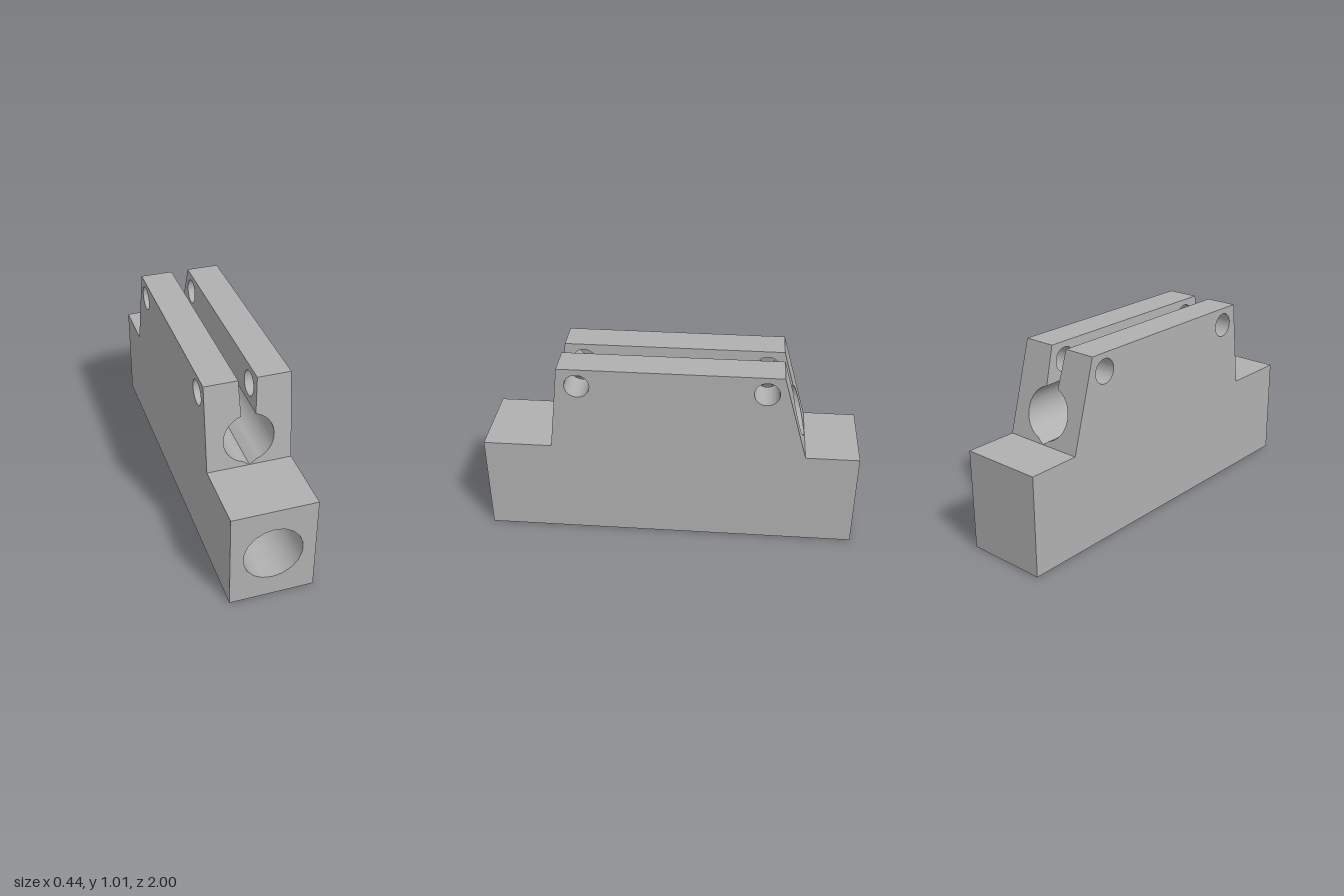
import * as THREE from 'three';
import { toCreasedNormals } from 'three/addons/utils/BufferGeometryUtils.js';

const W = 0.222;                       // half width
const STEP = 0.54, SEAM = 0.82, TOP = 1.015;
const lerp = THREE.MathUtils.lerp;

// sloping ends of the clamp and tapering slot, as functions of height
const rise = (y) => (y - STEP) / (TOP - STEP);
const frontZ = (y) => lerp(0.634, 0.578, rise(y));
const backZ = (y) => lerp(-0.717, -0.583, rise(y));
const slotX = (y) => lerp(0.038, 0.048, (y - SEAM) / (TOP - SEAM));

const extrude = (shape, depth) =>
  new THREE.ExtrudeGeometry(shape, { depth, bevelEnabled: false, curveSegments: 32 });

const circlePoints = (cx, cy, r, n, start, sweep) =>
  Array.from({ length: n + 1 }, (_, i) => {
    const a = start + (sweep * i) / n;
    return new THREE.Vector2(cx + r * Math.cos(a), cy + r * Math.sin(a));
  });

// move each vertex by a rule
function reshape(geometry, rule) {
  const p = geometry.attributes.position;
  const v = new THREE.Vector3();
  for (let i = 0; i < p.count; i++) {
    rule(v.fromBufferAttribute(p, i));
    p.setXYZ(i, v.x, v.y, v.z);
  }
  return geometry;
}

export function createModel() {
  const model = new THREE.Group();
  model.name = 'clampBlock';
  const grey = new THREE.MeshStandardMaterial({ color: 0xb0b0b0 });
  grey.name = 'grey';

  const add = (name, geometry) => {
    const mesh = new THREE.Mesh(toCreasedNormals(geometry, 0.5), grey);
    mesh.name = name;
    model.add(mesh);
  };

  // base with a blind bore from the front
  const wall = 0.2;
  const section = new THREE.Shape([
    new THREE.Vector2(-W, 0), new THREE.Vector2(W, 0),
    new THREE.Vector2(W, STEP), new THREE.Vector2(-W, STEP),
  ]);
  const bore = circlePoints(0, 0.27, 0.155, 18, Math.PI / 2, Math.PI * 2).slice(0, 18);
  section.holes.push(new THREE.Path(bore));
  add('base', extrude(section, 2 - wall).translate(0, 0, -1 + wall));
  add('baseBackWall', new THREE.BoxGeometry(2 * W, STEP, wall).translate(0, STEP / 2, -1 + wall / 2));

  for (const side of [1, -1]) {
    const label = side > 0 ? 'left' : 'right';

    // lower half of the clamp: half of the round channel with its V groove
    const r = 0.132, cy = 0.693;
    const a0 = Math.acos(0.038 / r), a1 = -Math.acos(0.037 / r);
    const arc = circlePoints(0, cy, r, 24, a0, a1 - a0);
    const outline = [
      new THREE.Vector2(0, STEP), new THREE.Vector2(W, STEP),
      new THREE.Vector2(W, SEAM), ...arc,
    ];
    outline[3].set(0.038, SEAM);
    const saddle = extrude(new THREE.Shape(outline.map((p) => new THREE.Vector2(p.x * side, p.y))), 1);
    add(label + 'ChannelWall', reshape(saddle, (v) => {
      v.z = v.z > 0.5 ? frontZ(v.y) : backZ(v.y);
    }));

    // upper jaw with two cross holes; drawn sideways, so shape x is -z
    const profile = new THREE.Shape([
      new THREE.Vector2(-frontZ(SEAM), SEAM), new THREE.Vector2(-backZ(SEAM), SEAM),
      new THREE.Vector2(-backZ(TOP), TOP), new THREE.Vector2(-frontZ(TOP), TOP),
    ]);
    for (const z of [0.477, -0.497]) {
      profile.holes.push(new THREE.Path().absarc(-z, 0.919, 0.065, 0, Math.PI * 2, true));
    }
    const jaw = extrude(profile, 1).rotateY(Math.PI / 2);
    add(label + 'Jaw', reshape(jaw, (v) => {
      const outer = (v.x > 0.5) === (side > 0);
      v.x = side * (outer ? W : slotX(v.y));
    }));
  }
  return model;
}
